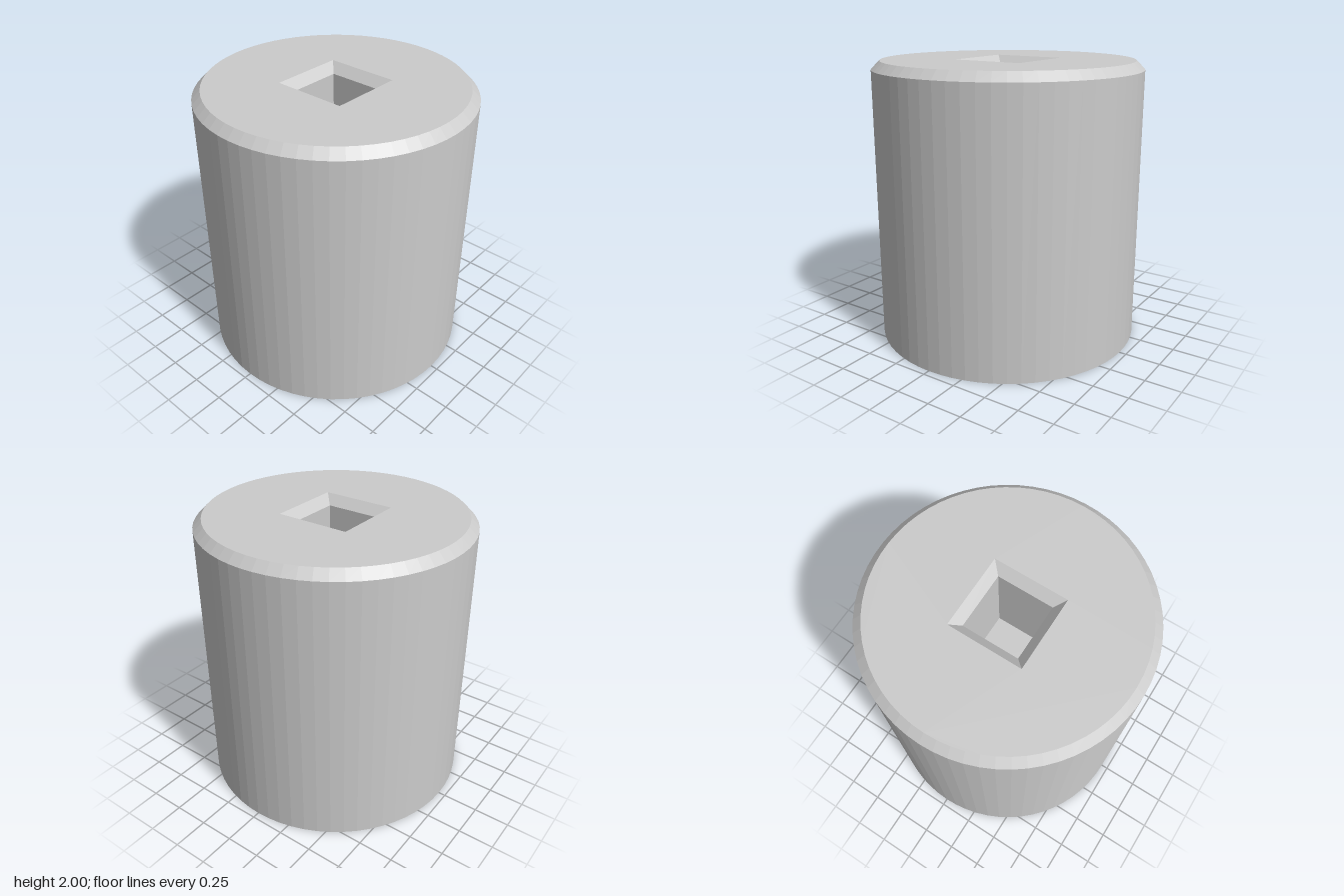
import * as THREE from 'three';

const material = new THREE.MeshStandardMaterial({ color: 0xcccccc, flatShading: true });

// Counter-clockwise outlines, seen from above
function circle(radius, segments = 64) {
  return Array.from({ length: segments }, (_, i) => {
    const a = (i / segments) * Math.PI * 2;
    return new THREE.Vector2(radius * Math.cos(a), radius * Math.sin(a));
  });
}

function square(half) {
  return [[1, 1], [-1, 1], [-1, -1], [1, -1]].map(([x, y]) => new THREE.Vector2(x * half, y * half));
}

// Eight straight-tipped lobes joined by rounded valleys
function splineOutline(lobes = 8) {
  const step = (Math.PI * 2) / lobes;
  const flank = new THREE.SplineCurve([
    new THREE.Vector2(0.405, 0.062),
    new THREE.Vector2(0.34, 0.07),
    new THREE.Vector2(0.29, 0.09),
    new THREE.Vector2(0.28 * Math.cos(step / 2), 0.28 * Math.sin(step / 2)),
  ]).getPoints(9);
  const half = [new THREE.Vector2(0.42, 0.045), ...flank];
  const mirrored = half.slice(0, -1).reverse().map((p) => new THREE.Vector2(p.x, -p.y));
  const points = [];
  for (let i = 0; i < lobes; i++) {
    for (const p of [...mirrored, ...half]) {
      points.push(p.clone().rotateAround(new THREE.Vector2(), i * step));
    }
  }
  return points;
}

// Band between two matching outlines; listing the upper one first faces it inward
function wall(name, first, y1, second, y2) {
  const positions = [];
  first.forEach((_, i) => {
    const j = (i + 1) % first.length;
    const a = [first[i].x, y1, -first[i].y];
    const b = [first[j].x, y1, -first[j].y];
    const c = [second[j].x, y2, -second[j].y];
    const d = [second[i].x, y2, -second[i].y];
    positions.push(...a, ...b, ...c, ...a, ...c, ...d);
  });
  const geometry = new THREE.BufferGeometry();
  geometry.setAttribute('position', new THREE.Float32BufferAttribute(positions, 3));
  geometry.computeVertexNormals();
  const mesh = new THREE.Mesh(geometry, material);
  mesh.name = name;
  return mesh;
}

// Flat face, with an optional opening
function face(name, outline, y, up, hole) {
  const shape = new THREE.Shape(outline);
  if (hole) shape.holes.push(new THREE.Path(hole));
  const geometry = new THREE.ShapeGeometry(shape);
  geometry.rotateX(up ? -Math.PI / 2 : Math.PI / 2);
  const mesh = new THREE.Mesh(geometry, material);
  mesh.name = name;
  mesh.position.y = y;
  return mesh;
}

export function createModel() {
  const model = new THREE.Group();
  model.name = 'driveSocket';

  const outer = circle(0.95);
  const rim = circle(0.89);
  const mouth = square(0.265);
  const drive = square(0.2);
  const lobed = splineOutline();
  const driveFloor = 1.3;
  const socketCeiling = 0.8;

  // Round body with a chamfered top edge
  model.add(
    wall('body', outer, 0, outer, 1.94),
    wall('topChamfer', outer, 1.94, rim, 2),
    face('topFace', rim, 2, true, mouth),
    face('bottomFace', outer, 0, false, lobed),
  );

  // Square drive hole with a bevelled mouth
  model.add(
    wall('driveBevel', mouth, 2, drive, 1.935),
    wall('driveWalls', drive, 1.935, drive, driveFloor),
    face('driveFloor', drive, driveFloor, true),
  );

  // Lobed socket in the underside
  model.add(
    wall('socketWalls', lobed, socketCeiling, lobed, 0),
    face('socketCeiling', lobed, socketCeiling, false),
  );

  return model;
}
